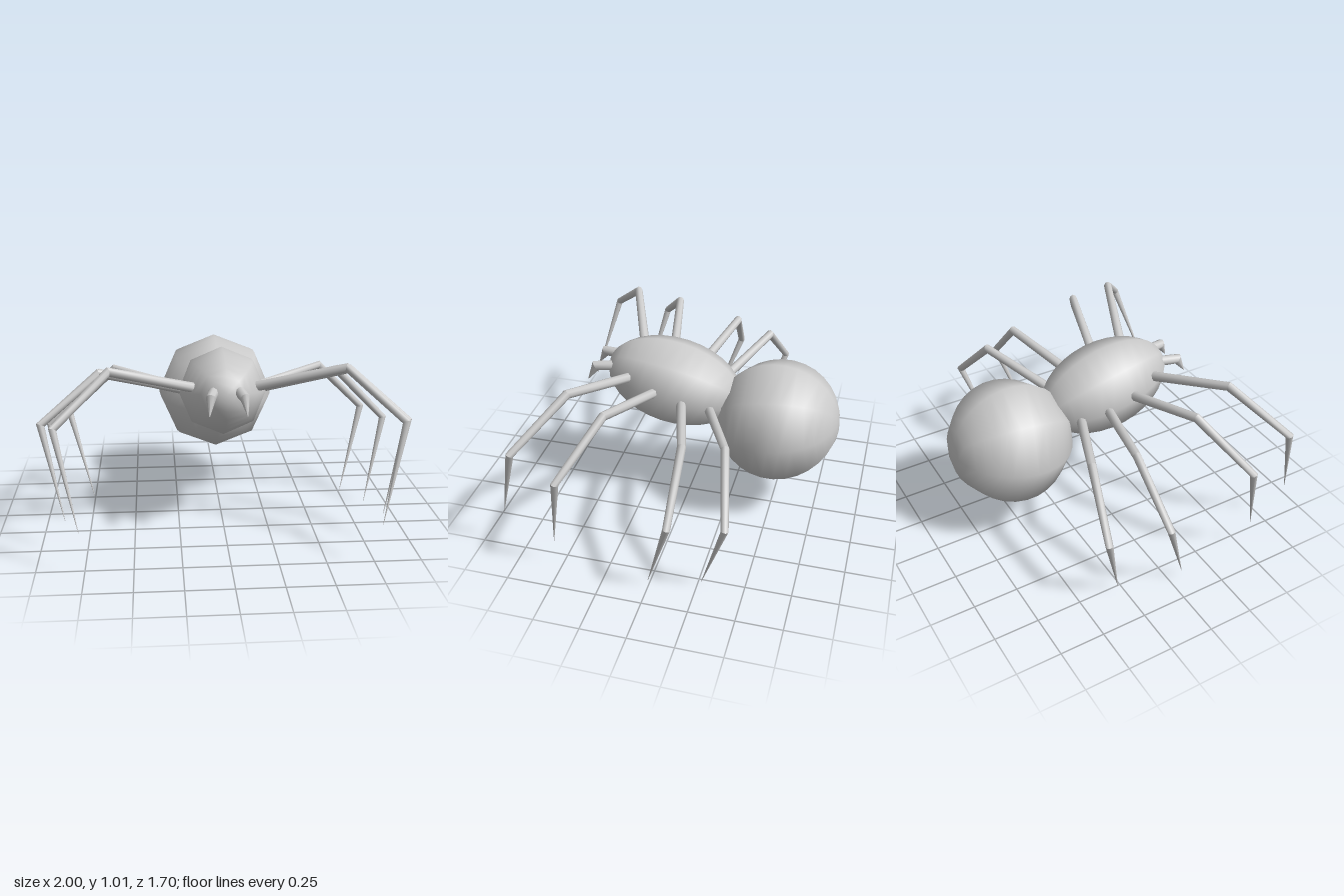
import * as THREE from 'three';

const material = new THREE.MeshStandardMaterial({ color: 0xcccccc });
const V = (p) => new THREE.Vector3(...p);

// Round limb along a jointed path, mitred at every joint and creased there.
function limb(name, path, radii, sides = 8) {
  const pts = path.map(V);
  const last = pts.length - 1;
  const dirs = pts.slice(1).map((p, i) => p.clone().sub(pts[i]).normalize());
  const side = dirs[0].clone().setY(0).normalize().cross(new THREE.Vector3(0, 1, 0));
  const rings = pts.map((p, i) => {
    const before = dirs[Math.max(i - 1, 0)];
    const n = before.clone().add(dirs[Math.min(i, last - 1)]).normalize();
    const w = side.clone().addScaledVector(n, -side.dot(n)).normalize();
    const v = n.clone().cross(w).divideScalar(n.dot(before));
    return Array.from({ length: sides }, (_, j) => {
      const a = (j / sides) * Math.PI * 2;
      return p.clone()
        .addScaledVector(w, radii[i] * Math.cos(a))
        .addScaledVector(v, radii[i] * Math.sin(a));
    });
  });
  const positions = [];
  const index = [];
  for (let s = 0; s < last; s++) {
    const base = s * sides * 2;
    for (const p of [...rings[s], ...rings[s + 1]]) positions.push(p.x, p.y, p.z);
    for (let j = 0; j < sides; j++) {
      const a = base + j;
      const b = base + ((j + 1) % sides);
      index.push(a, b, b + sides, a, b + sides, a + sides);
    }
  }
  const geometry = new THREE.BufferGeometry();
  geometry.setAttribute('position', new THREE.Float32BufferAttribute(positions, 3));
  geometry.setIndex(index);
  geometry.computeVertexNormals();
  const mesh = new THREE.Mesh(geometry, material);
  mesh.name = name;
  return mesh;
}

// Eight-sided rounded body with its poles along the (tilted) z direction.
function bodyPart(name, radius, length, position, tiltDegrees) {
  const geometry = new THREE.SphereGeometry(1, 8, 16);
  geometry.scale(radius, length, radius);
  const mesh = new THREE.Mesh(geometry, material);
  mesh.name = name;
  mesh.position.set(...position);
  mesh.rotation.x = THREE.MathUtils.degToRad(90 - tiltDegrees);
  return mesh;
}

// Joints of each leg: body, knee, ankle, tip.
const LEGS = {
  leftFrontLeg: [[0.18, 0.84, 0.31], [0.62, 0.975, 0.48], [0.89, 0.745, 0.70], [0.76, 0.25, 0.845]],
  leftSecondLeg: [[0.22, 0.79, 0.15], [0.68, 0.915, 0.27], [0.97, 0.67, 0.435], [0.84, 0.175, 0.53]],
  leftThirdLeg: [[0.22, 0.74, -0.01], [0.69, 0.81, -0.14], [0.98, 0.51, -0.138], [0.855, 0.03, 0.005]],
  leftBackLeg: [[0.18, 0.70, -0.16], [0.62, 0.785, -0.345], [0.905, 0.5, -0.415], [0.765, 0, -0.265]],
  rightFrontLeg: [[-0.18, 0.84, 0.31], [-0.61, 0.975, 0.48], [-0.88, 0.745, 0.70], [-0.765, 0.25, 0.84]],
  rightSecondLeg: [[-0.22, 0.79, 0.15], [-0.675, 0.905, 0.235], [-0.975, 0.675, 0.40], [-0.86, 0.185, 0.53]],
  rightThirdLeg: [[-0.22, 0.74, -0.01], [-0.685, 0.815, -0.13], [-0.98, 0.52, -0.10], [-0.865, 0.045, 0.075]],
  rightBackLeg: [[-0.18, 0.70, -0.16], [-0.61, 0.785, -0.345], [-0.895, 0.5, -0.41], [-0.755, 0, -0.265]],
};

export function createModel() {
  const model = new THREE.Group();
  model.name = 'spider';

  // Body: front part tips up, abdomen dips slightly towards the waist
  model.add(bodyPart('thorax', 0.243, 0.385, [0, 0.757, 0.085], 12));
  model.add(bodyPart('abdomen', 0.345, 0.345, [0, 0.595, -0.51], -7));

  // Legs, rooted a little inside the thorax
  for (const [name, joints] of Object.entries(LEGS)) {
    const [start, knee, ankle, tip] = joints;
    const root = V(start).lerp(V(knee), -0.15).toArray();
    model.add(limb(name, [root, knee, ankle, tip], [0.028, 0.023, 0.02, 0.001]));
  }

  // Hooked fangs
  for (const s of [1, -1]) {
    model.add(limb(s > 0 ? 'leftFang' : 'rightFang',
      [[s * 0.055, 0.845, 0.36], [s * 0.088, 0.835, 0.52], [s * 0.098, 0.75, 0.565]],
      [0.03, 0.027, 0.002]));
  }
  return model;
}
